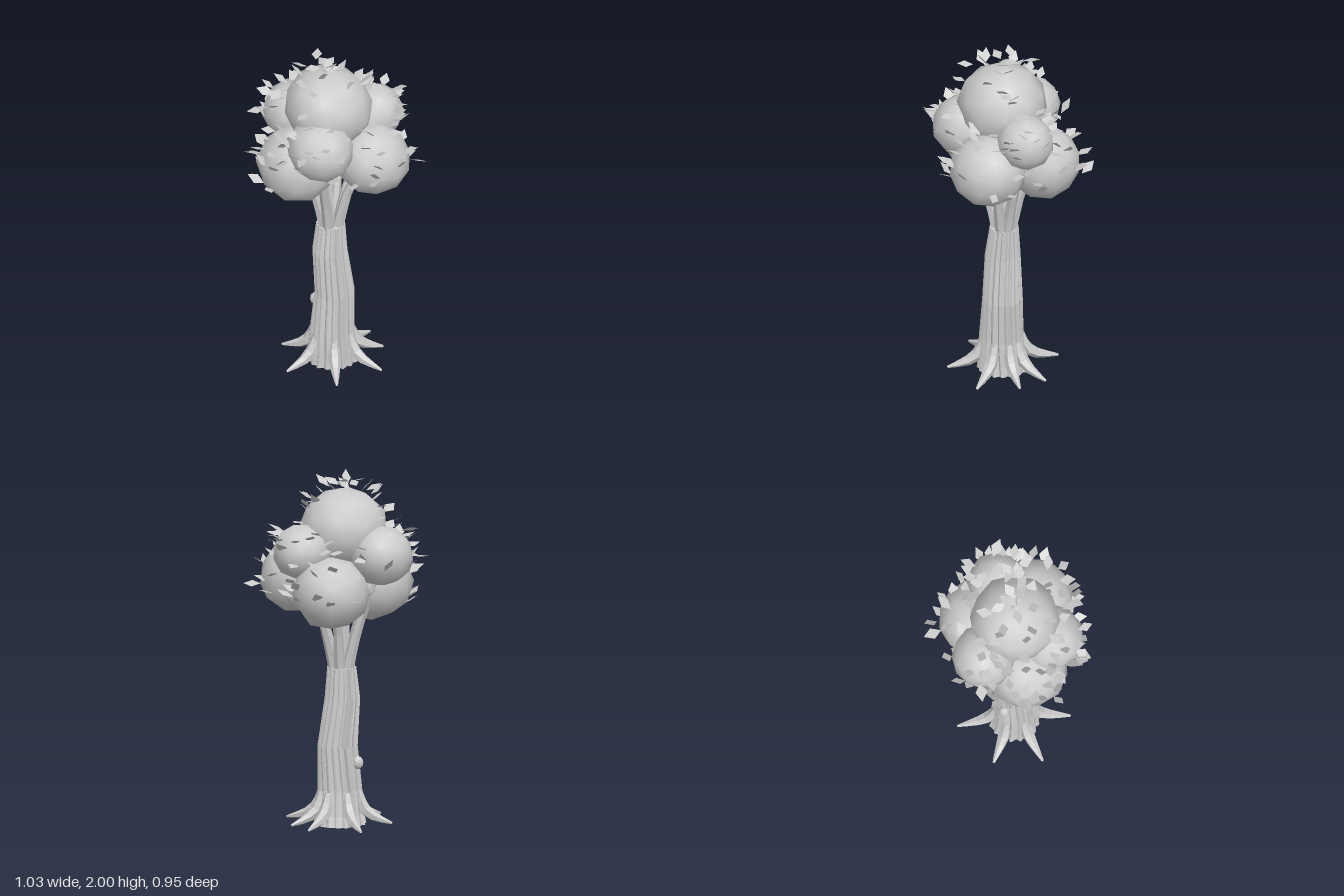
import * as THREE from 'three';
import { mergeGeometries, mergeVertices } from 'three/addons/utils/BufferGeometryUtils.js';

const V = (x, y, z) => new THREE.Vector3(x, y, z);

// foliage clumps: x, y, z, radius
const CLUMPS = [
  [-0.025, 1.69, 0, 0.255],
  [-0.195, 1.37, 0.06, 0.235],
  [0.21, 1.41, 0.115, 0.222],
  [0.1, 1.37, -0.21, 0.217],
  [-0.087, 1.535, 0.195, 0.195],
  [-0.2, 1.565, -0.18, 0.18],
  [0.245, 1.59, -0.09, 0.165],
];

// trunk cross-sections: y, centre x, centre z, radius, twist
const TRUNK = [
  [0, 0, 0, 0.148, 0],
  [0.06, 0, 0.005, 0.138, 0],
  [0.2, -0.002, 0.01, 0.125, 0.03],
  [0.45, 0.012, 0.005, 0.113, 0.12],
  [0.72, -0.014, 0, 0.1, 0.04],
  [0.9, -0.009, -0.007, 0.082, 0],
];

function seeded(seed) {
  let s = seed;
  return () => (s = (s * 16807) % 2147483647) / 2147483647;
}

function flat(geometry) {
  const g = geometry.index ? geometry.toNonIndexed() : geometry;
  g.computeVertexNormals();
  return g;
}

// fluted bark: ridges separated by narrow grooves
function trunkGeometry() {
  const rand = seeded(11), n = 54;
  const profile = Array.from({ length: n }, (_, i) =>
    i % 3 === 0 ? 0.88 + 0.06 * rand() : 0.96 + 0.07 * rand());
  const pos = [], index = [];
  for (const [y, cx, cz, r, twist] of TRUNK) {
    for (let i = 0; i < n; i++) {
      const step = [0, 0.65, 0.35][i % 3];
      const a = ((i + step - 0.5) / n) * Math.PI * 2 + twist;
      pos.push(cx + Math.cos(a) * r * profile[i], y, cz + Math.sin(a) * r * profile[i]);
    }
  }
  const last = TRUNK.length - 1;
  for (let k = 0; k < last; k++) {
    for (let i = 0; i < n; i++) {
      const a = k * n + i, b = k * n + (i + 1) % n;
      index.push(a, a + n, b, b, a + n, b + n);
    }
  }
  // bottom and top caps
  for (const k of [0, last]) {
    const [y, cx, cz] = TRUNK[k], c = pos.length / 3;
    pos.push(cx, y, cz);
    for (let i = 0; i < n; i++) {
      const a = k * n + i, b = k * n + (i + 1) % n;
      if (k) index.push(c, b, a);
      else index.push(c, a, b);
    }
  }
  const g = new THREE.BufferGeometry();
  g.setAttribute('position', new THREE.Float32BufferAttribute(pos, 3));
  g.setIndex(index);
  return flat(g);
}

// faceted tube whose radius runs through the given values
function taperedTube(points, radii, sides, segments) {
  const curve = new THREE.CatmullRomCurve3(points);
  const g = new THREE.TubeGeometry(curve, segments, 1, sides, false);
  const p = g.attributes.position, v = V();
  for (let i = 0; i < p.count; i++) {
    const t = Math.floor(i / (sides + 1)) / segments;
    const f = t * (radii.length - 1), k = Math.min(Math.floor(f), radii.length - 2);
    const r = THREE.MathUtils.lerp(radii[k], radii[k + 1], f - k);
    const c = curve.getPointAt(t);
    v.fromBufferAttribute(p, i).sub(c).multiplyScalar(r).add(c);
    p.setXYZ(i, v.x, v.y, v.z);
  }
  return flat(g);
}

// lumpy low-poly ball with smooth normals
function clumpGeometry(r, phase) {
  let g = new THREE.IcosahedronGeometry(r, 1);
  g.deleteAttribute('uv');
  g.deleteAttribute('normal');
  g = mergeVertices(g, 1e-4);
  g.rotateX(phase);
  g.rotateZ(phase * 2);
  const p = g.attributes.position;
  for (let i = 0; i < p.count; i++) {
    const x = p.getX(i) / r, y = p.getY(i) / r, z = p.getZ(i) / r;
    const s = r * (1 + 0.03 * Math.sin(3 * x + phase) * Math.cos(3 * z - phase)
      + 0.02 * Math.sin(4 * y + 2 * phase + 2 * x));
    p.setXYZ(i, x * s, y * s * 0.95, z * s);
  }
  g.computeVertexNormals();
  return g;
}

// diamond leaves pointing outward and up from the exposed parts of the clumps
function leavesGeometry() {
  const rand = seeded(77), leaves = [], sign = () => rand() * 2 - 1;
  CLUMPS.forEach(([cx, cy, cz, r], k) => {
    const wanted = k ? 18 : 28;
    let placed = 0;
    for (let tries = 0; tries < 300 && placed < wanted; tries++) {
      const y = k ? -0.3 + 1.3 * rand() : 1 - 0.9 * rand() ** 2;
      const a = rand() * Math.PI * 2, h = Math.sqrt(1 - y * y);
      const dir = V(Math.cos(a) * h, y, Math.sin(a) * h);
      const at = dir.clone().multiplyScalar(r * (0.98 + 0.24 * rand())).add(V(cx, cy, cz));
      const buried = CLUMPS.some((c, j) => j !== k && at.distanceTo(V(c[0], c[1], c[2])) < c[3]);
      if (buried) continue;
      placed++;
      const l = 0.044 + 0.012 * rand(), w = l * 0.6;
      const g = new THREE.BufferGeometry();
      g.setAttribute('position', new THREE.Float32BufferAttribute(
        [-w, 0, 0, 0, 0, l, w, 0, 0, w, 0, 0, 0, 0, -l, -w, 0, 0], 3));
      g.rotateZ(0.5 * sign());
      g.rotateX(-0.4 - 0.5 * sign());
      g.rotateY(Math.PI / 2 - a + 0.6 * sign());
      g.translate(at.x, Math.min(at.y, 1.965), at.z);
      g.computeVertexNormals();
      leaves.push(g);
    }
  });
  return mergeGeometries(leaves);
}

export function createModel() {
  const group = new THREE.Group();
  const clay = new THREE.MeshStandardMaterial({ color: 0xcccccc, side: THREE.DoubleSide });
  clay.name = 'plain grey';
  const add = (name, geometry) => {
    const m = new THREE.Mesh(geometry, clay);
    m.name = name;
    group.add(m);
    return m;
  };

  add('trunk', trunkGeometry());

  // roots: angle in degrees, reach
  const roots = [[-10, 0.295], [36, 0.32], [91, 0.315], [151, 0.31], [205, 0.3], [262, 0.325], [318, 0.31]];
  roots.forEach(([deg, reach]) => {
    const a = THREE.MathUtils.degToRad(deg);
    const at = (r, y) => V(Math.cos(a) * r, y, Math.sin(a) * r);
    add('root', taperedTube(
      [at(0.105, 0.19), at(0.135, 0.095), at(0.19, 0.05), at(reach, 0.012)],
      [0.024, 0.038, 0.026, 0.007], 6, 5));
  });

  // knot on the trunk
  const knot = add('knot', flat(new THREE.IcosahedronGeometry(0.032, 1)));
  knot.position.set(-0.09, 0.355, -0.06);
  knot.scale.y = 1.2;

  // one branch rising into each clump
  CLUMPS.forEach(([x, y, z, r], i) => {
    const d = V(x, 0, z), out = Math.min(1, d.length() / 0.15);
    d.normalize();
    const at = (s, h) => V(-0.008 + d.x * s * out, h, -0.005 + d.z * s * out);
    add('branch', taperedTube(
      [at(0.038, 0.86), at(0.072, 1.02), at(0.128, 1.2), V(x, y - r * 0.3, z)],
      [0.034, 0.03, 0.025, 0.016], 6, 6));
    add('foliageClump', clumpGeometry(r, i * 1.7 + 0.4)).position.set(x, y, z);
  });

  add('leaves', leavesGeometry());
  return group;
}
